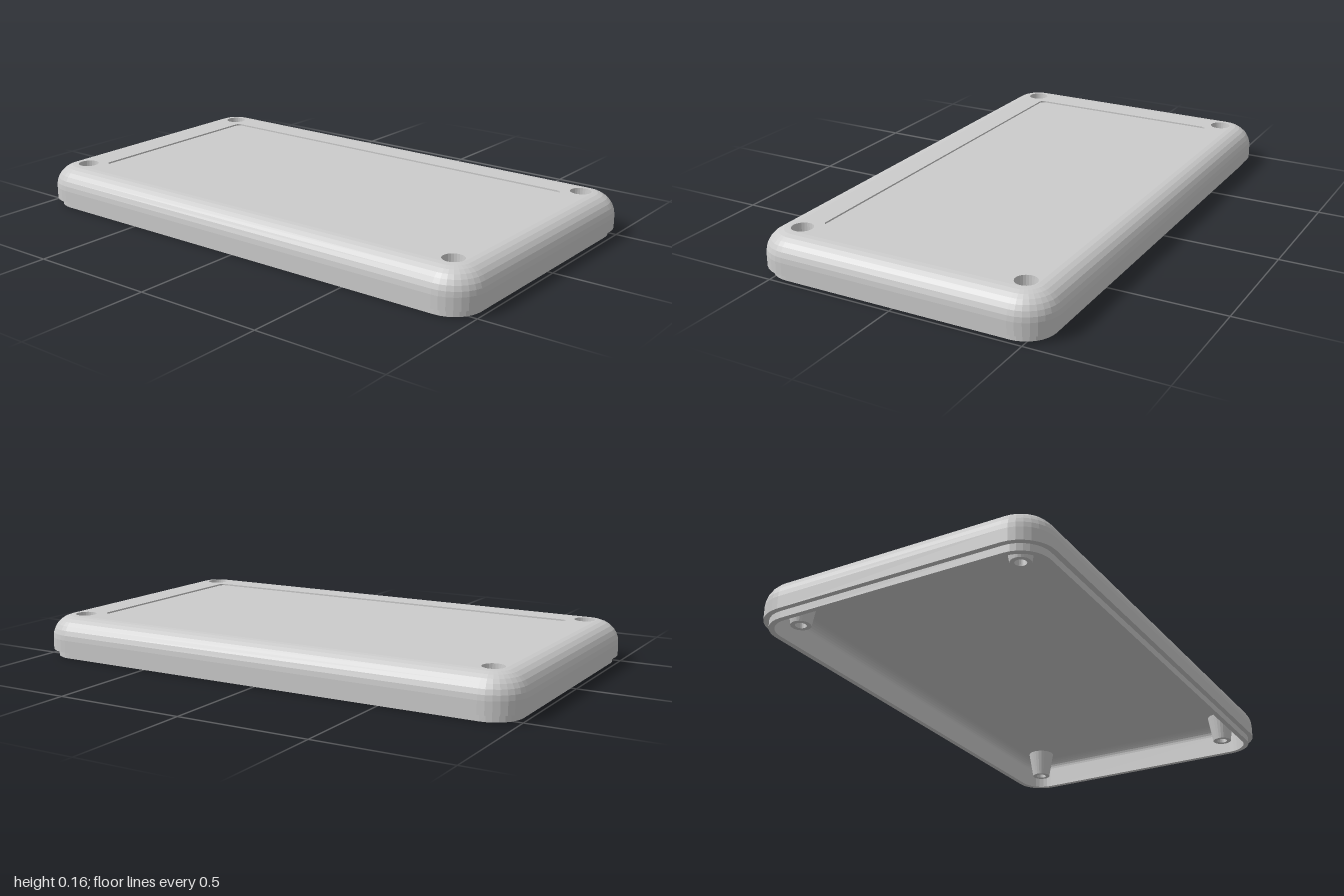
import * as THREE from 'three';

const HX = 1, HZ = 0.575, R = 0.13;      // footprint half sizes and corner radius
const TOP = 0.16, CEILING = 0.125, STEP = 0.027;
const SCREW_X = HX - R, SCREW_Z = HZ - R;
const CORNER_SEGS = 8, FILLET_SEGS = 7;

// Points around a rounded rectangle
function ring(hx, hz, r) {
  const pts = [];
  [[1, 1], [-1, 1], [-1, -1], [1, -1]].forEach(([sx, sz], q) => {
    for (let i = 0; i <= CORNER_SEGS; i++) {
      const a = (q + i / CORNER_SEGS) * Math.PI / 2;
      pts.push(new THREE.Vector2(sx * (hx - r) + r * Math.cos(a), sz * (hz - r) + r * Math.sin(a)));
    }
  });
  return pts;
}
const insetRing = (d) => ring(HX - d, HZ - d, R - d);

// Skin between stacked rings; a rising profile faces outward
function loft(rings, heights) {
  const n = rings[0].length, pos = [], idx = [];
  rings.forEach((pts, i) => pts.forEach((p) => pos.push(p.x, heights[i], p.y)));
  for (let i = 0; i < rings.length - 1; i++) {
    for (let j = 0; j < n; j++) {
      const a = i * n + j, b = i * n + (j + 1) % n;
      idx.push(a, a + n, b, a + n, b + n, b);
    }
  }
  const g = new THREE.BufferGeometry();
  g.setAttribute('position', new THREE.Float32BufferAttribute(pos, 3));
  g.setIndex(idx);
  g.computeVertexNormals();
  return g;
}

// Horizontal sheet with optional holes, facing up (1) or down (-1)
function sheet(outline, holes, y, facing) {
  const shape = new THREE.Shape(outline);
  holes.forEach((h) => shape.holes.push(new THREE.Path(h)));
  return new THREE.ShapeGeometry(shape).rotateX(-facing * Math.PI / 2).translate(0, y, 0);
}

const corners = [[1, 1], [-1, 1], [-1, -1], [1, -1]];
const screwHoles = (r) => corners.map(([sx, sz]) => Array.from({ length: 24 }, (_, i) => {
  const a = i / 24 * Math.PI * 2;
  return new THREE.Vector2(sx * SCREW_X + r * Math.cos(a), sz * SCREW_Z + r * Math.sin(a));
}));

export function createModel() {
  const model = new THREE.Group();
  model.name = 'enclosureCover';
  const material = new THREE.MeshStandardMaterial({ color: 0xcccccc, flatShading: true });
  const add = (name, geometry) => {
    const mesh = new THREE.Mesh(geometry, material);
    mesh.name = name;
    model.add(mesh);
    return mesh;
  };

  // Shell walls: inner fillet, inner wall, lip, step, outer wall, outer fillet
  const profile = [];
  const arc = (d, y, r, from, to) => {
    for (let i = 0; i <= FILLET_SEGS; i++) {
      const a = from + (to - from) * i / FILLET_SEGS;
      profile.push([d - r * Math.cos(a), y + r * Math.sin(a)]);
    }
  };
  arc(0.08, CEILING - 0.04, 0.04, Math.PI / 2, 0);
  profile.push([0.04, 0], [0.02, 0], [0.02, STEP], [0, STEP]);
  arc(0.085, TOP - 0.085, 0.085, 0, Math.PI / 2);
  add('shellWalls', loft(profile.map((p) => insetRing(p[0])), profile.map((p) => p[1])));

  // Top face with a shallow recessed panel
  const panel = ring(0.815, 0.4, 0.02), floor = TOP - 0.006;
  add('topFace', sheet(insetRing(0.085), [panel, ...screwHoles(0.04)], TOP, 1));
  add('panelEdge', loft([panel, panel], [TOP, floor]));
  add('recessedPanel', sheet(panel, [], floor, 1));

  // Inner ceiling
  add('ceiling', sheet(insetRing(0.08), screwHoles(0.042), CEILING, -1));

  // Tapered screw bosses with a counterbore and a through hole
  const bossProfile = [
    [0.04, TOP], [0.031, 0.06], [0.021, 0.06], [0.021, 0.02], [0.037, 0.02], [0.055, CEILING + 0.002],
  ].map(([x, y]) => new THREE.Vector2(x, y));
  const boss = new THREE.LatheGeometry(bossProfile, 24);
  corners.forEach(([sx, sz]) => {
    add('screwBoss', boss).position.set(sx * SCREW_X, 0, sz * SCREW_Z);
  });

  return model;
}
